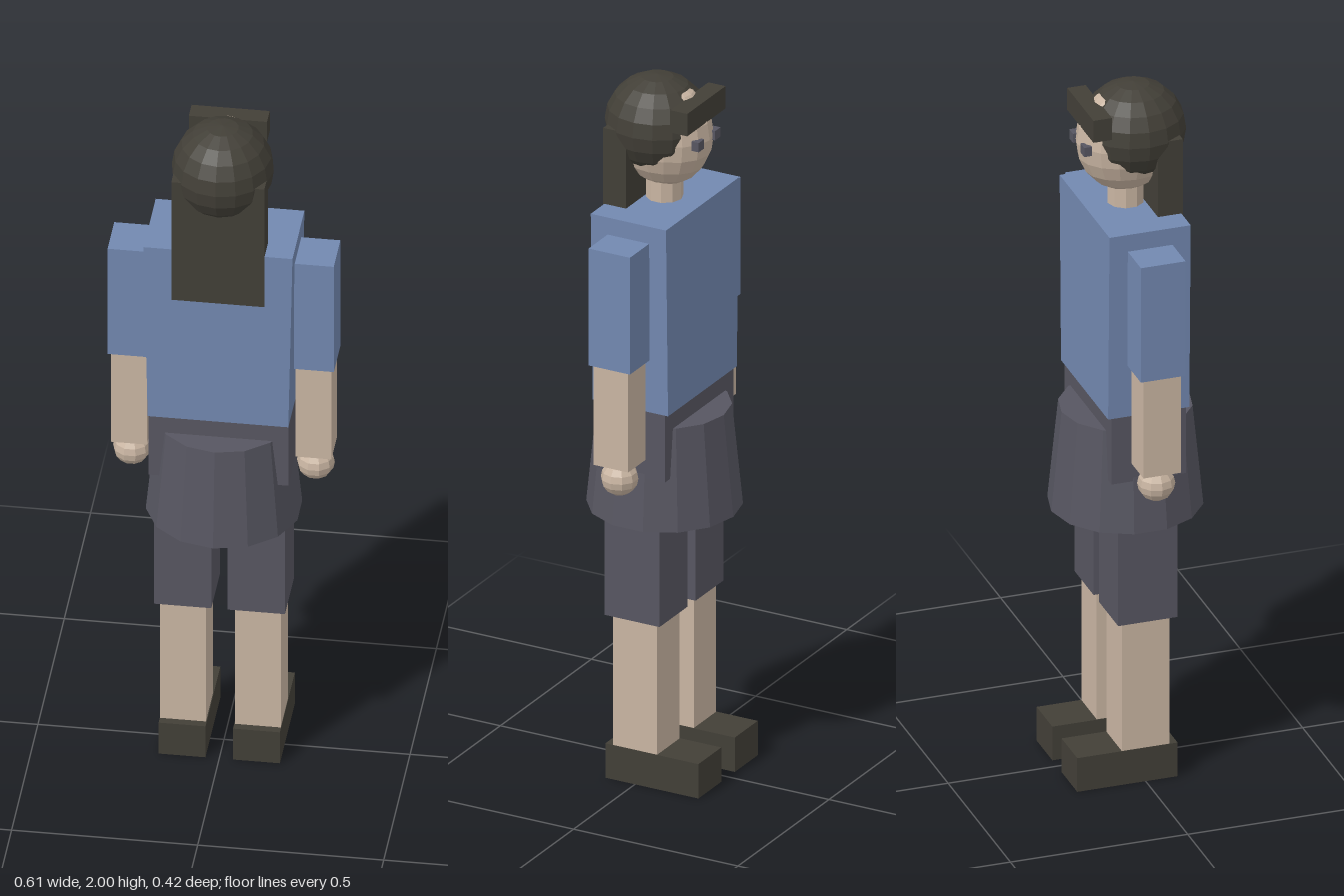
import * as THREE from 'three';

const mat = (name, color) => {
  const m = new THREE.MeshStandardMaterial({ color, flatShading: true });
  m.name = name;
  return m;
};

export function createModel() {
  const root = new THREE.Group();
  root.name = 'figure';
  const skin = mat('skin', 0xc9b5a2);
  const blue = mat('shirtBlue', 0x7288b0);
  const grey = mat('clothGrey', 0x575661);
  const dark = mat('darkBrown', 0x423f37);

  const add = (name, geometry, material, x = 0, y = 0, z = 0) => {
    const mesh = new THREE.Mesh(geometry, material);
    mesh.name = name;
    mesh.position.set(x, y, z);
    root.add(mesh);
    return mesh;
  };
  // Box given by its limits on each axis
  const box = (name, material, [x0, x1], [y0, y1], [z0, z1]) =>
    add(name, new THREE.BoxGeometry(x1 - x0, y1 - y0, z1 - z0), material,
      (x0 + x1) / 2, (y0 + y1) / 2, (z0 + z1) / 2);
  const ball = (name, material, x, y, z, rx, ry, rz, w, h) =>
    add(name, new THREE.SphereGeometry(1, w, h).scale(rx, ry, rz), material, x, y, z);

  // Head and hair; the face looks towards -z
  ball('head', skin, 0, 1.84, 0, 0.11, 0.15, 0.137, 16, 10);
  ball('hairCap', dark, 0, 1.865, 0.022, 0.137, 0.135, 0.142, 16, 10);
  box('hairBack', dark, [-0.125, 0.125], [1.49, 1.87], [0.048, 0.118]);
  box('fringe', dark, [-0.105, 0.105], [1.89, 1.955], [-0.127, -0.075]);
  add('neck', new THREE.CylinderGeometry(0.05, 0.05, 0.13, 10), skin, 0, 1.685, 0);

  // Torso, slightly narrower at the waist
  const torso = box('torso', blue, [-0.2, 0.2], [1.105, 1.65], [-0.115, 0.114]);
  const p = torso.geometry.attributes.position;
  for (let i = 0; i < p.count; i++) if (p.getY(i) < 0) p.setX(i, p.getX(i) * 0.945);
  torso.geometry.computeVertexNormals();

  // Hips and skirt
  box('hips', grey, [-0.188, 0.188], [0.91, 1.11], [-0.105, 0.105]);
  add('skirt', new THREE.CylinderGeometry(0.18, 0.209, 0.29, 14), grey, 0, 0.905, 0);

  // Paired parts
  for (const s of [-1, 1]) {
    const side = s > 0 ? 'left' : 'right';
    const span = (a, b) => (s > 0 ? [a, b] : [-b, -a]);
    box(side + 'Eye', grey, span(0.03, 0.06), [1.828, 1.855], [-0.137, -0.115]);
    box(side + 'Sleeve', blue, span(0.197, 0.304), [1.26, 1.6], [-0.063, 0.063]);
    box(side + 'Forearm', skin, span(0.2, 0.296), [0.97, 1.262], [-0.053, 0.053]);
    ball(side + 'Hand', skin, s * 0.247, 0.926, 0, 0.051, 0.049, 0.051, 10, 8);
    box(side + 'ShortsLeg', grey, span(0.022, 0.176), [0.48, 0.8], [-0.082, 0.085]);
    box(side + 'LowerLeg', skin, span(0.039, 0.162), [0.05, 0.5], [-0.067, 0.067]);
    box(side + 'Shoe', dark, span(0.037, 0.163), [0, 0.1], [-0.193, 0.09]);
  }
  return root;
}
